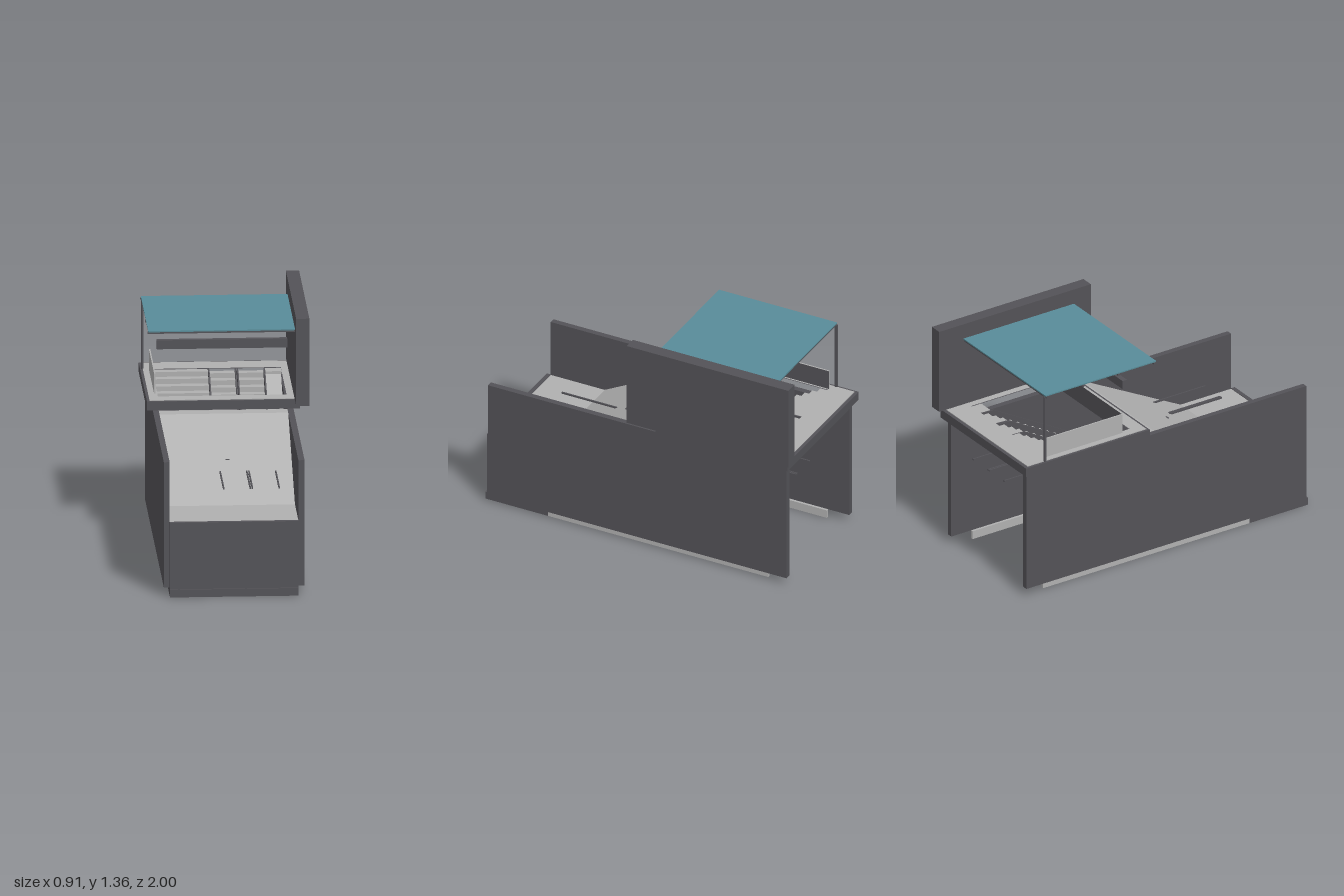
import * as THREE from 'three';

const material = (name, color) => {
  const m = new THREE.MeshStandardMaterial({ color });
  m.name = name;
  return m;
};

export function createModel() {
  const group = new THREE.Group();
  const dark = material('dark cladding', 0x535257);
  const light = material('light stone', 0xb0b0b0);
  const teal = material('teal roof', 0x588c99);

  const add = (name, geometry, mat) => {
    const mesh = new THREE.Mesh(geometry, mat);
    mesh.name = name;
    group.add(mesh);
    return mesh;
  };
  // Box given by its limits on each axis
  const box = (name, mat, x0, x1, y0, y1, z0, z1) => {
    const g = new THREE.BoxGeometry(x1 - x0, y1 - y0, z1 - z0);
    g.translate((x0 + x1) / 2, (y0 + y1) / 2, (z0 + z1) / 2);
    return add(name, g, mat);
  };
  // Side profile of [z, y] points, extruded across x
  const across = (name, mat, x0, x1, points) => {
    const shape = new THREE.Shape(points.map(([z, y]) => new THREE.Vector2(z, y)));
    const g = new THREE.ExtrudeGeometry(shape, { depth: x1 - x0, bevelEnabled: false });
    g.rotateY(-Math.PI / 2);
    g.translate(x1, 0, 0);
    return add(name, g, mat);
  };
  // Floor slab with a rectangular opening
  const frame = (name, mat, o, h, y0, y1) => {
    const rect = (P, [x0, x1, z0, z1]) => {
      const p = new P();
      p.moveTo(x0, -z0).lineTo(x1, -z0).lineTo(x1, -z1).lineTo(x0, -z1).closePath();
      return p;
    };
    const shape = rect(THREE.Shape, o);
    shape.holes.push(rect(THREE.Path, h));
    const g = new THREE.ExtrudeGeometry(shape, { depth: y1 - y0, bevelEnabled: false });
    g.rotateX(-Math.PI / 2);
    g.translate(0, y0, 0);
    return add(name, g, mat);
  };

  // Side walls, front panel and base
  box('leftSideWall', dark, 0.34, 0.375, 0.05, 0.785, -0.945, 0.965);
  box('rightSideWall', dark, -0.423, -0.39, 0.05, 0.785, -0.945, 0.965);
  box('frontPanel', dark, -0.39, 0.34, 0.045, 0.435, 0.965, 0.99);
  box('frontBase', dark, -0.39, 0.34, 0, 0.045, 0.6, 1);
  box('leftPlinth', light, 0.325, 0.34, 0, 0.05, -0.81, 0.6);
  box('rightPlinth', light, -0.39, -0.375, 0, 0.05, -0.81, 0.6);

  // Bent ceiling over the passage
  across('slopingCeiling', light, -0.39, 0.34, [
    [0.965, 0.432], [0.62, 0.432], [-0.055, 0.786], [-0.13, 0.786],
    [-0.13, 0.77], [-0.06, 0.77], [0.615, 0.416], [0.965, 0.416],
  ]);
  box('ceilingMark', dark, -0.035, -0.012, 0.607, 0.611, 0.28, 0.29);

  // Stepped flights, saw-toothed above and below
  const zLow = 0.6, zHigh = -0.81, yLow = 0.045, yHigh = 0.842;
  const flight = (name, x0, x1, drop) => {
    const n = 28, dz = (zHigh - zLow) / n, dy = (yHigh - yLow) / n;
    const top = [], bottom = [];
    for (let i = 0; i < n; i++) {
      const z = zLow + dz * i, y = yLow + dy * i - drop;
      top.push([z, y], [z, y + dy]);
      bottom.push([z + dz * 0.2, y - 0.03], [z + dz * 1.2, y - 0.03]);
    }
    across(name, light, x0, x1, [...top, [zHigh, yHigh - drop], ...bottom.reverse()]);
  };
  flight('staircase', -0.39, -0.075, 0);
  flight('innerEscalatorSteps', -0.065, 0.078, 0.012);
  flight('outerEscalatorSteps', 0.096, 0.24, 0.012);
  box('sideRamp', light, 0.25, 0.34, 0.825, 0.842, -0.81, -0.74);
  across('sideSlope', light, 0.25, 0.34, [
    [zLow, yLow], [zHigh, yHigh - 0.01], [zHigh, yHigh - 0.05], [zLow, yLow - 0.03],
  ]);

  // Escalator balustrades with level bars at both ends
  for (const x of [-0.07, 0.081, 0.093, 0.245]) {
    across('balustrade', dark, x - 0.004, x + 0.004, [
      [zLow, yLow + 0.05], [-0.72, 0.838], [zHigh, 0.842], [zHigh, 0.78], [zLow, yLow - 0.02],
    ]);
    box('frontLevelBar', dark, x - 0.004, x + 0.004, 0.555, 0.565, 0.37, 0.725);
    box('rearLevelBar', dark, x - 0.004, x + 0.004, 0.555, 0.565, -0.86, -0.5);
  }

  // Raised entrance platform around the stairwell
  const well = [-0.39, 0.34, -0.81, -0.22];
  frame('platformEdge', dark, [-0.457, 0.41, -0.97, -0.125], well, 0.79, 0.843);
  frame('platformPaving', light, [-0.442, 0.395, -0.95, -0.14], well, 0.843, 0.847);

  // Parapet beside the stairwell
  box('sideParapet', light, -0.408, -0.4, 0.847, 0.965, -0.81, -0.28);
  const inner = new THREE.PlaneGeometry(0.53, 0.118);
  inner.rotateY(Math.PI / 2);
  inner.translate(-0.399, 0.906, -0.545);
  add('parapetLining', inner, dark);
  const back = new THREE.PlaneGeometry(0.74, 0.118);
  back.rotateY(Math.PI);
  back.translate(-0.03, 0.906, -0.28);
  add('frontParapetLining', back, dark);

  // Tall wall, sign beam, post and canopy
  box('tallWall', dark, 0.38, 0.455, 0.848, 1.36, -1, 0.035);
  box('signBeam', dark, -0.395, 0.345, 1.118, 1.17, -0.27, -0.24);
  box('canopyPost', dark, -0.45, -0.437, 0.843, 1.258, -0.84, -0.825);
  box('canopyRoof', teal, -0.452, 0.38, 1.262, 1.269, -0.835, -0.08);
  for (let i = 0; i < 4; i++) {
    const z = -0.825 + i * 0.245;
    box('canopyBeam', dark, -0.457, 0.38, 1.252, 1.262, z - 0.007, z + 0.007);
  }
  return group;
}
